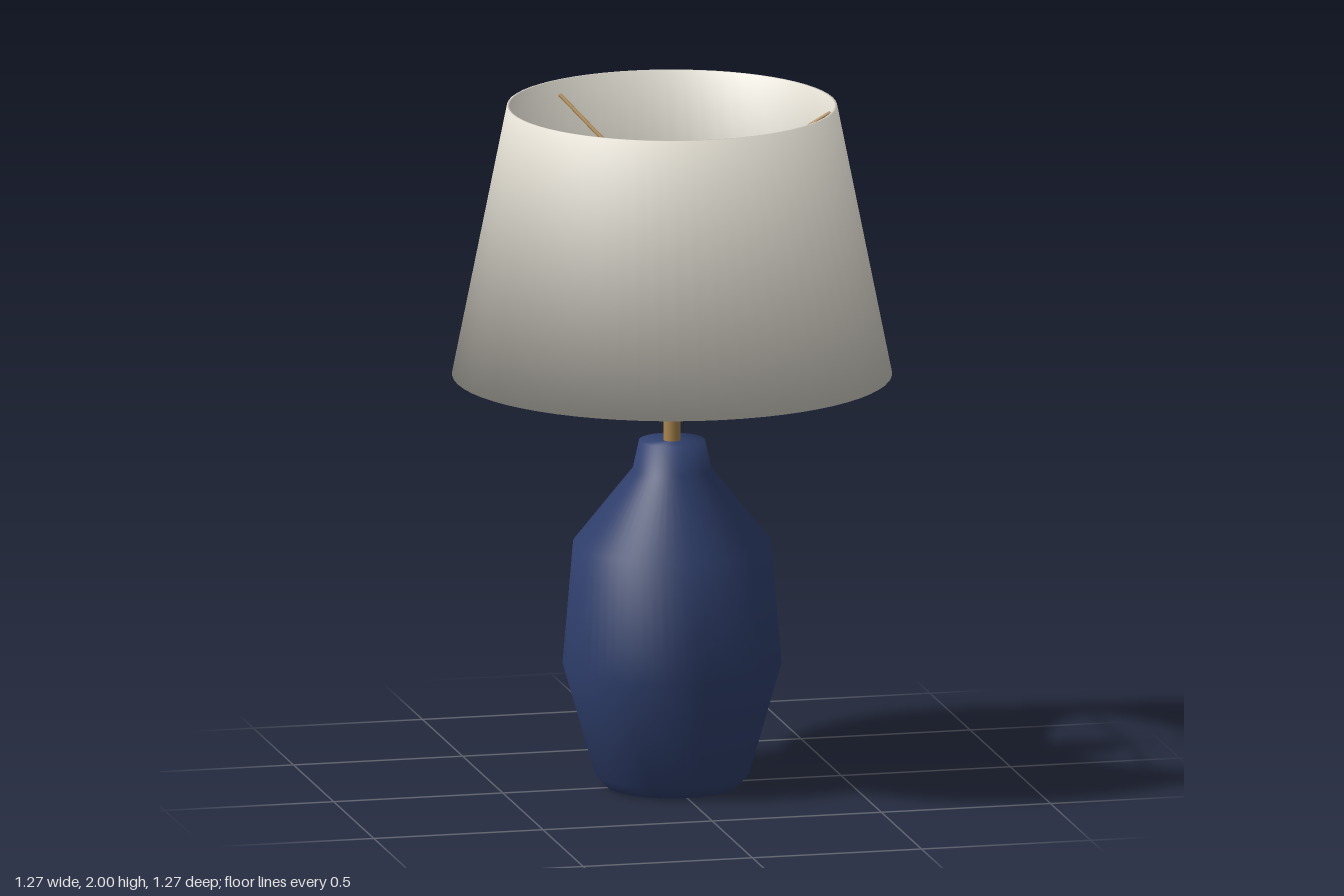
import * as THREE from 'three';

const SEGMENTS = 64;

// Lathe whose normals average the two neighbouring profile segments equally
function smoothLathe(profile, closed = false) {
  const pts = profile.map(([r, y]) => new THREE.Vector2(r, y));
  if (closed) pts.push(pts[0].clone());
  const facing = pts.slice(1).map((p, i) =>
    new THREE.Vector2(p.y - pts[i].y, pts[i].x - p.x).normalize());
  const last = facing.length - 1;
  const normals = pts.map((_, i) => {
    const before = facing[i > 0 ? i - 1 : closed ? last : 0];
    const after = facing[i <= last ? i : closed ? 0 : last];
    return before.clone().add(after).normalize();
  });
  const geo = new THREE.LatheGeometry(pts, SEGMENTS);
  const attr = geo.attributes.normal;
  for (let i = 0; i < attr.count; i++) {
    const n = normals[i % pts.length];
    const a = Math.floor(i / pts.length) / SEGMENTS * Math.PI * 2;
    attr.setXYZ(i, n.x * Math.sin(a), n.y, n.x * Math.cos(a));
  }
  return geo;
}

// Straight rod between two points
function rod(from, to, radius, sides) {
  const dir = to.clone().sub(from);
  const geo = new THREE.CylinderGeometry(radius, radius, dir.length(), sides);
  const turn = new THREE.Quaternion().setFromUnitVectors(
    new THREE.Vector3(0, 1, 0), dir.clone().normalize());
  geo.applyQuaternion(turn);
  const mid = from.clone().add(to).multiplyScalar(0.5);
  return geo.translate(mid.x, mid.y, mid.z);
}

export function createModel() {
  const lamp = new THREE.Group();
  lamp.name = 'tableLamp';

  const material = (name, color) => {
    const m = new THREE.MeshStandardMaterial({ color });
    m.name = name;
    return m;
  };
  const navy = material('navyCeramic', 0x30406e);
  const brass = material('brass', 0xa9854f);
  const linen = material('linen', 0xdedacf);
  const white = material('bulbWhite', 0xe6e1d5);

  const add = (name, geo, mat) => {
    const mesh = new THREE.Mesh(geo, mat);
    mesh.name = name;
    lamp.add(mesh);
  };

  // Ceramic body with faceted shoulders and a short neck
  add('base', smoothLathe([
    [0, 0], [0.19, 0], [0.223, 0.037], [0.315, 0.36], [0.285, 0.715],
    [0.113, 0.932], [0.095, 1.015], [0, 1.015],
  ]), navy);

  // Stem through the bulb up to the shade spokes
  add('stem', rod(new THREE.Vector3(0, 1, 0), new THREE.Vector3(0, 1.7, 0), 0.025, 24), brass);

  // Bulb
  const bulb = new THREE.SphereGeometry(0.094, 24, 12).toNonIndexed();
  bulb.computeVertexNormals();
  bulb.translate(0, 1.525, 0);
  add('bulb', bulb, white);

  // Thin open shade with outer wall, rims and inner wall
  add('shade', smoothLathe([
    [0.633, 1.21], [0.475, 2], [0.467, 2], [0.625, 1.21],
  ], true), linen);

  // Three spokes holding the shade
  for (let i = 0; i < 3; i++) {
    const a = i * Math.PI * 2 / 3;
    const end = new THREE.Vector3(Math.cos(a) * 0.469, 1.955, Math.sin(a) * 0.469);
    add('shadeSpoke' + (i + 1), rod(new THREE.Vector3(0, 1.69, 0), end, 0.006, 8), brass);
  }

  return lamp;
}
